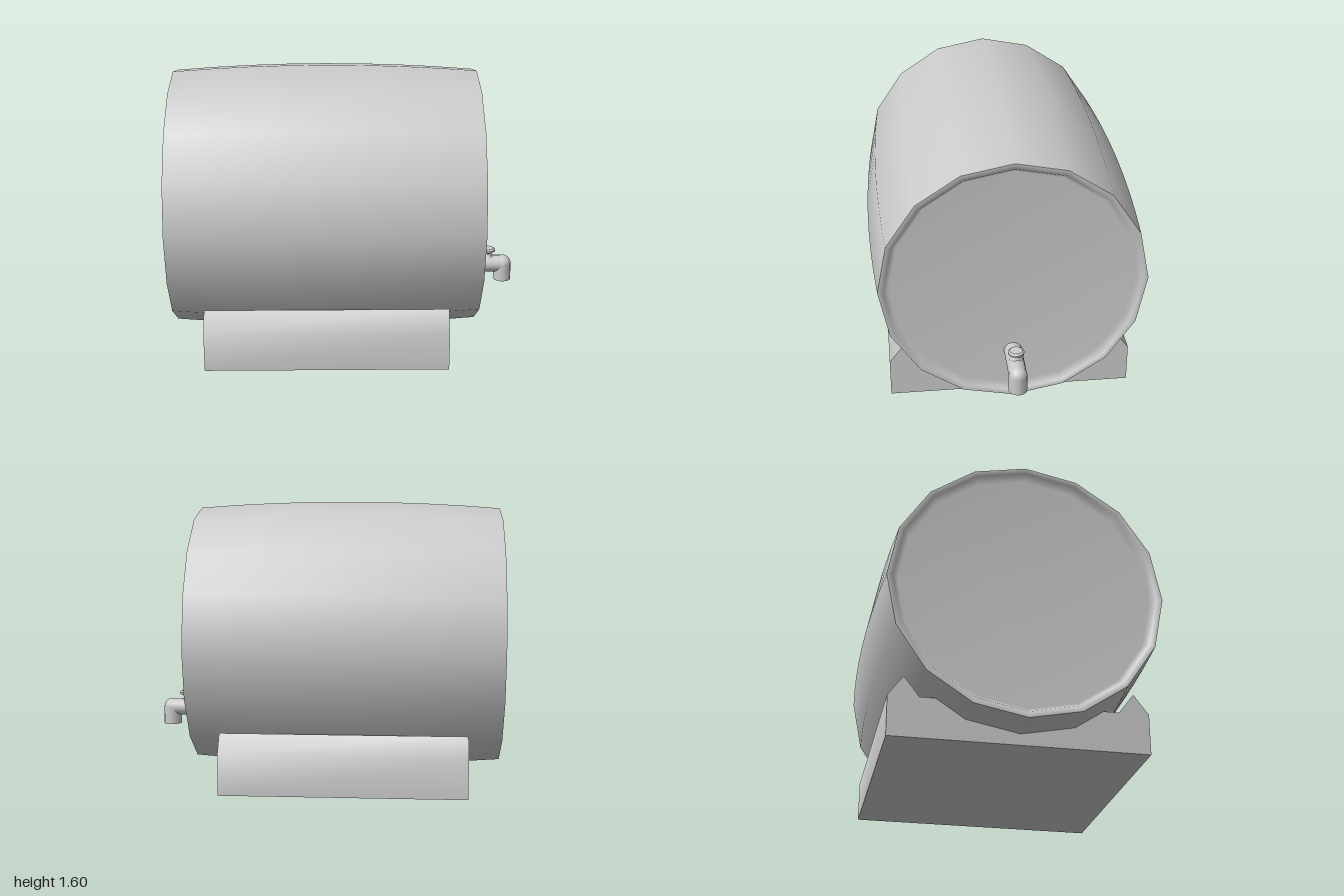
import * as THREE from 'three';
import { toCreasedNormals } from 'three/addons/utils/BufferGeometryUtils.js';

const material = new THREE.MeshStandardMaterial({ color: 0xcccccc });
const AXIS_Y = 0.818; // height of the barrel's axis
const MID_X = -0.125; // middle of the barrel along x
const HALF = 0.875; // half of the barrel's length

function part(name, geometry, parent, x = 0, y = 0, z = 0) {
  const mesh = new THREE.Mesh(geometry, material);
  mesh.name = name;
  mesh.position.set(x, y, z);
  parent.add(mesh);
  return mesh;
}

// Turned shape about the x axis; points are [radius, position along x]
function turnedX(points) {
  const geometry = new THREE.LatheGeometry(points.map(([r, h]) => new THREE.Vector2(r, h)), 16);
  return geometry.rotateZ(-Math.PI / 2);
}

function turnedY(points, sides) {
  return new THREE.LatheGeometry(points.map(([r, h]) => new THREE.Vector2(r, h)), sides);
}

function buildBarrel() {
  const barrel = new THREE.Group();
  barrel.name = 'barrel';
  barrel.position.set(MID_X, AXIS_Y, 0);

  // Bulging staves
  const bulge = [];
  for (let i = 0; i <= 8; i++) {
    const t = i / 4 - 1;
    bulge.push([0.778 - 0.036 * t * t, t * HALF]);
  }
  part('barrelBody', turnedX(bulge), barrel);

  // Rim and shallow recessed head at both ends
  const head = turnedX([[0.742, HALF], [0.71, HALF], [0.68, HALF - 0.04], [0, HALF - 0.04]]);
  part('rightHead', head, barrel);
  part('leftHead', head, barrel).rotation.y = Math.PI;
  return barrel;
}

function buildCradle() {
  // End profile with a raised ridge on each side
  const right = [[0.695, 0], [0.695, 0.225], [0.613, 0.335], [0.53, 0.225]];
  const left = right.map(([z, y]) => [-z, y]).reverse();
  const shape = new THREE.Shape([...right, ...left].map(([z, y]) => new THREE.Vector2(z, y)));
  const geometry = new THREE.ExtrudeGeometry(shape, { depth: 1.38, bevelEnabled: false });
  geometry.rotateY(Math.PI / 2);
  geometry.translate(-0.81, 0, 0);
  const cradle = new THREE.Mesh(toCreasedNormals(geometry, 0.7), material);
  cradle.name = 'cradle';
  return cradle;
}

function buildTap() {
  const tap = new THREE.Group();
  tap.name = 'tap';

  // Pipe, bend and downward spout
  const pipe = new THREE.CylinderGeometry(0.051, 0.051, 0.24, 12).rotateZ(Math.PI / 2);
  part('tapPipe', pipe, tap, 0.825, 0.36);
  part('tapBend', new THREE.SphereGeometry(0.052, 12, 8), tap, 0.947, 0.36);
  part('tapSpout', new THREE.CylinderGeometry(0.052, 0.053, 0.1, 12), tap, 0.947, 0.31);

  // Flared stem and round knob
  part('tapStem', turnedY([[0.038, 0.4], [0.024, 0.415], [0.024, 0.437]], 12), tap, 0.855);
  const knob = turnedY([[0, 0.43], [0.032, 0.433], [0.046, 0.442], [0.046, 0.452], [0.036, 0.46], [0, 0.46]], 12);
  part('tapKnob', toCreasedNormals(knob, 0.6), tap, 0.855);
  return tap;
}

export function createModel() {
  const model = new THREE.Group();
  model.name = 'barrelOnCradle';
  model.add(buildBarrel(), buildCradle(), buildTap());
  return model;
}
